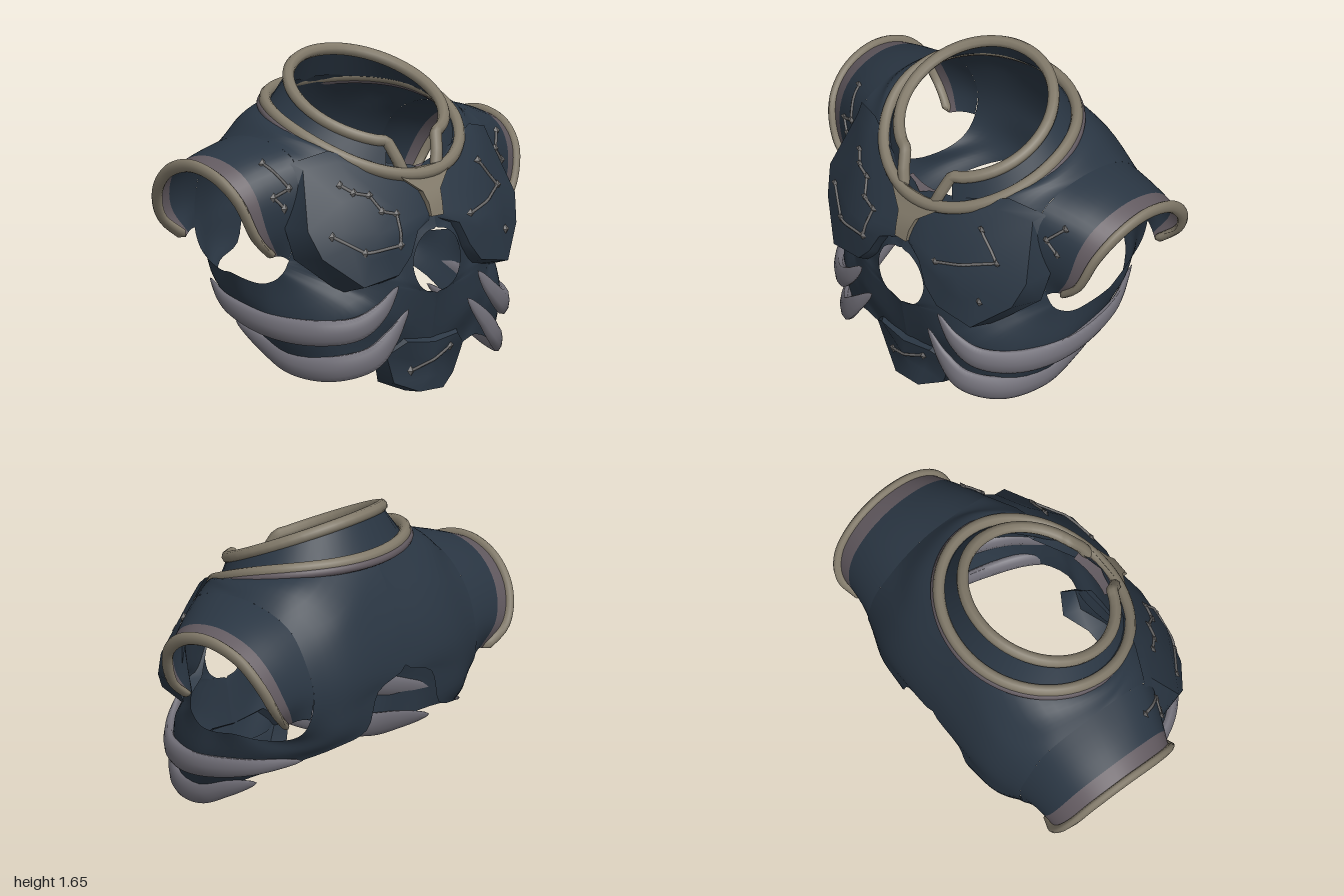
import * as THREE from 'three';
import { toCreasedNormals } from 'three/addons/utils/BufferGeometryUtils.js';

const V = (x, y, z) => new THREE.Vector3(x, y, z);
const mat = (name, color) => new THREE.MeshStandardMaterial({ name, color, side: THREE.DoubleSide });
const navy = mat('navy plate', 0x2a3643);
const gold = mat('dull gold trim', 0x827a6a);
const mauve = mat('mauve lining', 0x625a60);
const bone = mat('grey rib', 0x727079);
const star = mat('star silver', 0x6c6b6b);

// Skin a surface through rows of equally many points
function loft(rows, closed = false, crease = 0.7) {
  const n = rows[0].length, pos = [], idx = [];
  rows.forEach(r => r.forEach(p => pos.push(p.x, p.y, p.z)));
  for (let i = 0; i < rows.length - 1; i++)
    for (let j = 0; j < (closed ? n : n - 1); j++) {
      const a = i * n + j, b = i * n + (j + 1) % n;
      idx.push(a, b, a + n, b, b + n, a + n);
    }
  const g = new THREE.BufferGeometry();
  g.setAttribute('position', new THREE.Float32BufferAttribute(pos, 3));
  g.setIndex(idx);
  g.computeVertexNormals();
  return toCreasedNormals(g, crease);
}

// Sweep an oval section (h along the side of the path, d outward)
function sweep(pts, h, d, { closed = false, n = 48, ref = V(0, 1, 0), taper = () => 1 } = {}) {
  const c = new THREE.CatmullRomCurve3(pts, closed), rows = [];
  for (let i = 0; i <= n; i++) {
    const t = i / n, p = c.getPoint(t), T = c.getTangent(t);
    const out = T.clone().cross(ref).normalize(), up = out.clone().cross(T).normalize();
    const s = !closed && (i === 0 || i === n) ? 0.01 : taper(t);
    rows.push(Array.from({ length: 10 }, (_, k) => {
      const a = k / 10 * Math.PI * 2;
      return p.clone().addScaledVector(up, Math.sin(a) * h * s).addScaledVector(out, Math.cos(a) * d * s);
    }));
  }
  return loft(rows, true, 1);
}

const pts = list => list.map(p => V(...p));
const flip = (p, s) => V(p.x, p.y, p.z * s);

// Raised plate: edge loop, raised loop, centre point
function plate(edge, raised, centre, s) {
  const rows = [edge, raised].map(l => pts(l).map(p => flip(p, s)));
  const c = flip(V(...centre), s);
  rows.push(rows[1].map(p => p.clone().lerp(c, 0.5)), rows[1].map(() => c.clone()));
  return loft(rows, true, 0.8);
}

// Neck base ring, f = 0 at the chest
const neckY = x => 1.375 - 0.34 * x - 0.38 * x * x;
const neck = (f, grow = 0) => {
  const x = 0.03 + (0.43 + grow) * Math.cos(f);
  return V(x, neckY(x), (0.48 + grow) * Math.sin(f));
};
const collarTop = f => {
  const x = 0.06 + 0.37 * Math.cos(f);
  return V(x, 1.475 - 0.47 * x, 0.41 * Math.sin(f));
};
const N = [0, 36, 72, 108, 144, 180].map(a => neck(a * Math.PI / 180).toArray());

// Half torso: loops from the arm opening out to the midline, neck and hem
const armLoop = [
  [.22, .72, .67], [.26, .86, .66], [.275, .94, .66], [.28, 1.02, .66], [.27, 1.12, .65], [.22, 1.23, .64],
  [.12, 1.28, .64], [0, 1.3, .64], [-.14, 1.3, .64], [-.3, 1.26, .63], [-.41, 1.19, .62],
  [-.5, 1.06, .62], [-.55, .9, .61], [-.54, .76, .62], [-.49, .67, .63], [-.4, .62, .65],
  [-.25, .6, .7], [-.13, .615, .75], [0, .59, .74], [.1, .59, .73], [.17, .62, .71],
  [.2, .65, .7], [.21, .67, .69], [.215, .685, .685], [.218, .7, .68], [.219, .706, .677], [.22, .712, .674]];
const midLoop = [
  [.47, .72, .45], [.47, .85, .43], [.47, .92, .425], [.46, .99, .42], [.42, 1.08, .42], [.36, 1.19, .42],
  [.27, 1.27, .48], [.1, 1.33, .57], [-.13, 1.37, .56], [-.34, 1.36, .48], [-.5, 1.24, .37],
  [-.57, 1.1, .36], [-.615, .92, .38], [-.605, .77, .44], [-.585, .65, .47], [-.5, .58, .56],
  [-.34, .53, .66], [-.15, .48, .71], [0, .44, .725], [.17, .39, .715], [.38, .4, .62],
  [.5, .45, .49], [.53, .48, .41], [.55, .5, .35], [.55, .58, .34], [.545, .61, .35], [.53, .65, .38]];
const outLoop = [
  [.59, .685, .16], [.59, .79, .125], [.588, .84, .06], [.585, .855, 0], [.54, 1, 0], ...N,
  [-.58, 1.1, 0], [-.625, .9, 0], [-.62, .81, .2], [-.605, .62, .27], [-.55, .56, .44],
  [-.4, .48, .58], [-.2, .38, .65], [0, .27, .64], [.2, .17, .62], [.42, .16, .53],
  [.51, .24, .33], [.5, .19, .2], [.53, .2, 0], [.59, .515, 0], [.592, .53, .06], [.595, .58, .125]];

function torsoHalf(s) {
  const curves = [armLoop, midLoop, outLoop].map(l => new THREE.CatmullRomCurve3(pts(l), true));
  const rows = Array.from({ length: 11 }, () => []);
  const n = armLoop.length * 4;
  for (let j = 0; j < n; j++) {
    const spoke = new THREE.CatmullRomCurve3(curves.map(c => c.getPoint(j / n)));
    rows.forEach((r, i) => {
      const p = spoke.getPoint(i / 10);
      p.z = Math.max(0, p.z);
      r.push(flip(p, s));
    });
  }
  return loft(rows, true, 0.9);
}

const rimArch = [
  [.18, .74, .74], [.185, .85, .86], [.14, 1.04, .94], [.02, 1.15, .975], [-.17, 1.19, .982],
  [-.36, 1.13, .965], [-.48, 1, .93], [-.52, .85, .86], [-.475, .74, .74]];

// Sleeve from the arm opening to the rim, between fractions t0 and t1
function sleeve(s, t0, t1) {
  const a = new THREE.CatmullRomCurve3(pts(armLoop.slice(0, 14))).getSpacedPoints(40);
  const b = new THREE.CatmullRomCurve3(pts(rimArch)).getSpacedPoints(40);
  return loft(Array.from({ length: 5 }, (_, i) => {
    const t = t0 + (t1 - t0) * i / 4, bulge = 0.012 * Math.sin(Math.PI * t);
    return a.map((p, j) => {
      const q = p.clone().lerp(b[j], t);
      q.y += bulge;
      return flip(q, s);
    });
  }), false, 1);
}

export function createModel() {
  const group = new THREE.Group();
  const add = (name, geo, m) => {
    const mesh = new THREE.Mesh(geo, m);
    mesh.name = name;
    group.add(mesh);
    return mesh;
  };
  const targets = [];

  for (const s of [1, -1]) {
    const side = s > 0 ? 'Left' : 'Right';
    const m = l => pts(l).map(p => flip(p, s));
    add('torsoShell' + side, torsoHalf(s), navy);
    targets.push(add('sleeve' + side, sleeve(s, 0, 0.72), navy));
    add('sleeveBand' + side, sleeve(s, 0.72, 1), mauve);
    add('sleeveRim' + side, sweep(m(rimArch), 0.021, 0.034, { ref: V(0, 0, 1) }), gold);
    // Chest plate
    targets.push(add('chestPlate' + side, plate(
      [[.47, 1.12, .08], [.3, 1.27, .48], [.22, 1.22, .66], [.24, .9, .72], [.29, .74, .7],
        [.42, .56, .5], [.53, .61, .25], [.575, .73, .165], [.575, .86, .11], [.56, .9, .01]],
      [[.49, 1.09, .09], [.36, 1.22, .46], [.28, 1.19, .63], [.4, .9, .705], [.46, .76, .66],
        [.585, .61, .49], [.615, .65, .28], [.62, .74, .2], [.605, .86, .14], [.57, .94, .02]],
      [.58, .87, .38], s), navy));
    // Two tapering ribs
    const taper = t => Math.pow(Math.sin(Math.PI * t), 0.6);
    add('upperRib' + side, sweep(m([[.6, .59, .27], [.585, .47, .38], [.53, .39, .49], [.38, .365, .635],
      [.13, .38, .725], [-.2, .44, .71], [-.46, .51, .59]]), 0.068, 0.032, { taper }), bone);
    add('lowerRib' + side, sweep(m([[.6, .46, .2], [.6, .33, .32], [.56, .23, .42], [.42, .175, .55],
      [.2, .185, .63], [0, .26, .65], [-.2, .34, .65]]), 0.068, 0.032, { taper }), bone);
  }

  // Abdomen plate
  targets.push(add('abdomenPlate', plate(
    [[.51, .32, .19], [.53, .29, 0], [.51, .32, -.19], [.43, .23, -.29], [.4, .06, -.23], [.46, .005, -.1],
      [.46, .005, .1], [.4, .06, .23], [.43, .23, .29]],
    [[.56, .28, .17], [.575, .26, 0], [.56, .28, -.17], [.5, .21, -.26], [.49, .06, -.2], [.55, .01, -.08],
      [.55, .01, .08], [.49, .06, .2], [.5, .21, .26]],
    [.565, .15, 0], 1), navy));

  // Collar wall and trims
  const angles = Array.from({ length: 41 }, (_, i) => 0.42 + (Math.PI * 2 - 0.84) * i / 40);
  add('collar', loft([angles.map(a => neck(a)), angles.map(collarTop)], false, 1), navy);
  const ring = Array.from({ length: 24 }, (_, i) => neck(i / 12 * Math.PI, 0.032));
  add('lowerCollarTrim', sweep(ring, 0.034, 0.03, { closed: true, n: 72 }), gold);
  const under = angles.slice(3, -3).map(a => neck(a, 0.048).add(V(0, -0.025, 0)));
  add('collarUnderTrim', sweep(under, 0.026, 0.026, { n: 72 }), mauve);
  const open = [V(.46, 1.13, .11), V(.44, 1.2, .135), ...angles.map(collarTop),
    V(.44, 1.2, -.135), V(.46, 1.13, -.11)];
  const openCurve = new THREE.CatmullRomCurve3(open, false, 'catmullrom', 0.25);
  add('upperCollarTrim', new THREE.TubeGeometry(openCurve, 120, 0.031, 8), gold);

  // Throat lining and pendant
  const front = Array.from({ length: 9 }, (_, i) => -0.3 + 0.6 * i / 8);
  add('throatLining', loft([0.02, -0.06].map(g => front.map(f => neck(f, g).add(V(0, g < 0 ? -0.04 : 0, 0)))),
    false, 1), mauve);
  const half = [[.47, 1.155, .19], [.49, 1.11, .15], [.54, 1.04, .06], [.57, .98, .045], [.585, .915, .04]];
  const rows = [-0.05, 0.012].map(o => half.map(([x, y, z]) => V(x + o, y, z)));
  const mir = rows.map(r => r.map(p => flip(p, -1))).reverse();
  add('throatPendant', loft([...rows, ...mir], false, 0.4), gold);

  // Star patterns, laid on the plates by projecting (z, y) points along x
  const ray = new THREE.Raycaster();
  group.updateMatrixWorld(true);
  const project = (z, y) => {
    ray.set(V(3, y, z), V(-1, 0, 0));
    const hit = ray.intersectObjects(targets, false)[0];
    return hit ? hit.point.add(V(0.004, 0, 0)) : null;
  };
  const patterns = [
    [[.49, 1.11], [.44, 1.07], [.36, 1.05], [.32, .97], [.24, .95], [.26, .8], [.46, .78], [.6, .87]],
    [[-.42, 1.11], [-.54, .97], [-.235, .89]], [[-.51, .76]],
    [[.12, .12], [-.12, .22]],
    [[.77, 1.22], [.7, 1.1], [.78, 1.06], [.73, 1]],
    [[-.77, 1.17], [-.7, 1.1], [-.76, 1.03]]];
  for (const pattern of patterns) {
    pattern.forEach(([z, y], i) => {
      const p = project(z, y);
      if (p) {
        const g = new THREE.OctahedronGeometry(0.026);
        g.scale(0.5, 1, 1);
        add('star', g, star).position.copy(p);
      }
      if (!i) return;
      const [z0, y0] = pattern[i - 1], line = [];
      for (let k = 0; k <= 6; k++) {
        const q = project(z0 + (z - z0) * k / 6, y0 + (y - y0) * k / 6);
        if (q) line.push(q);
      }
      if (line.length > 1)
        add('starLine', new THREE.TubeGeometry(new THREE.CatmullRomCurve3(line), 12, 0.008, 5), star);
    });
  }
  return group;
}
